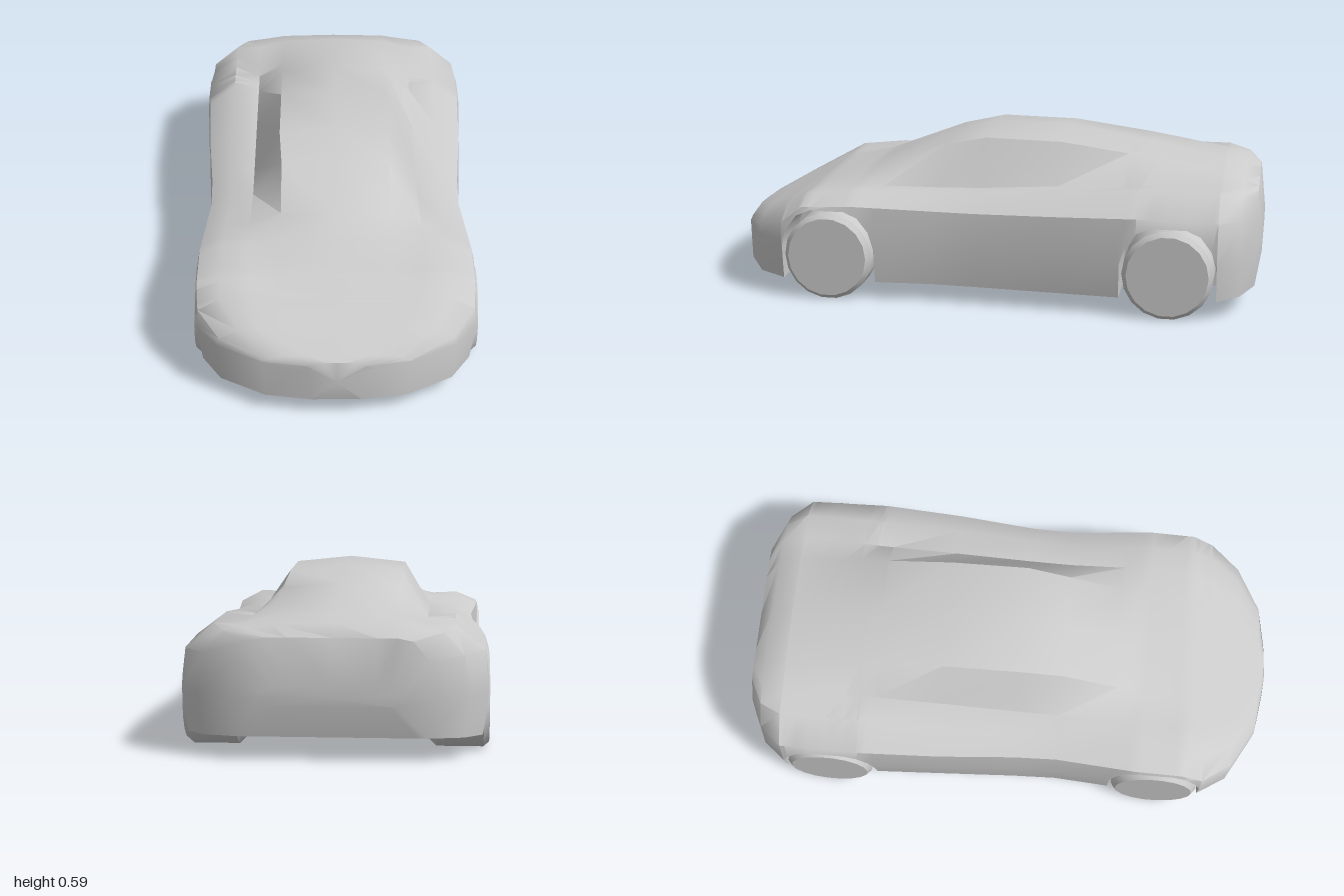
import * as THREE from 'three';
import { toCreasedNormals } from 'three/addons/utils/BufferGeometryUtils.js';

const AXLES = [0.585, -0.675];
const FLOOR = 0.07;

// Body stations: z, roof y, roof edge x y, cabin base x y, fender x y, shoulder x y, side x, sill x, sill y
const STATIONS = [
  [0.985, 0.235, 0.04, 0.235, 0.07, 0.23, 0.09, 0.22, 0.10, 0.2, 0.10, 0.09, 0.07],
  [0.96, 0.25, 0.12, 0.25, 0.18, 0.245, 0.23, 0.235, 0.255, 0.225, 0.26, 0.25, 0.07],
  [0.87, 0.29, 0.2, 0.29, 0.27, 0.29, 0.34, 0.285, 0.41, 0.25, 0.42, 0.41, 0.07],
  [0.76, 0.345, 0.2, 0.345, 0.3, 0.345, 0.41, 0.34, 0.49, 0.29, 0.5, 0.48, 0.07],
  [0.68, 0.385, 0.2, 0.38, 0.31, 0.38, 0.41, 0.385, 0.495, 0.35, 0.5, 0.49, 0.07],
  [0.5, 0.43, 0.2, 0.425, 0.32, 0.4, 0.41, 0.405, 0.495, 0.36, 0.5, 0.485, 0.07],
  [0.2, 0.555, 0.2, 0.54, 0.31, 0.4, 0.39, 0.395, 0.47, 0.35, 0.48, 0.465, 0.07],
  [0.04, 0.597, 0.21, 0.575, 0.31, 0.405, 0.4, 0.4, 0.475, 0.35, 0.485, 0.47, 0.07],
  [-0.25, 0.595, 0.21, 0.57, 0.31, 0.425, 0.41, 0.42, 0.5, 0.36, 0.505, 0.485, 0.07],
  [-0.55, 0.545, 0.21, 0.53, 0.31, 0.44, 0.41, 0.45, 0.515, 0.37, 0.525, 0.5, 0.07],
  [-0.85, 0.49, 0.21, 0.48, 0.32, 0.45, 0.41, 0.45, 0.51, 0.365, 0.525, 0.505, 0.075],
];
const TAIL = [
  [-0.93, 0.465, 0.21, 0.46, 0.3, 0.445, 0.37, 0.435, 0.44, 0.36, 0.46, 0.44, 0.08],
  [-0.98, 0.42, 0.15, 0.42, 0.22, 0.42, 0.27, 0.41, 0.33, 0.34, 0.35, 0.32, 0.085],
  [-1, 0.26, 0.1, 0.26, 0.15, 0.26, 0.2, 0.255, 0.24, 0.24, 0.25, 0.22, 0.19],
];
const KEYS = [...STATIONS, ...TAIL];

// Wheel opening outline: distance from axle, height
const ARCH = [[0.176, FLOOR], [0.174, 0.2], [0.155, 0.265], [0.115, 0.318], [0.065, 0.34], [0, 0.34]];

function archHeight(z) {
  const d = Math.min(...AXLES.map((a) => Math.abs(z - a)));
  for (let i = 1; i < ARCH.length; i++) {
    const [d0, y0] = ARCH[i - 1], [d1, y1] = ARCH[i];
    if (d <= d0 && d >= d1) return y0 + (y1 - y0) * (d0 - d) / (d0 - d1);
  }
  return 0;
}

function stationAt(z) {
  let i = 1;
  while (i < KEYS.length - 1 && KEYS[i][0] > z) i++;
  const a = KEYS[i - 1], b = KEYS[i], t = (z - a[0]) / (b[0] - a[0]);
  return a.map((v, k) => v + (b[k] - v) * t);
}

// Half section from roof centre round to floor centre, mirrored into a ring
function ringAt(z) {
  const [, top, xr, yr, xs, ys, xf, yf, xw, yw, xm, xb, yb] = stationAt(z);
  const arch = archHeight(z), inner = Math.min(0.31, xb * 0.9);
  const lip = Math.max(yb, arch);
  const half = [
    [0, top], [xr, yr], [xs, ys], [xf, yf], [xw, yw],
    [xm, Math.max(0.22, arch)], [xb + (xm - xb) * Math.min(1, (lip - yb) / 0.15), lip],
    [inner, lip], [inner, yb], [0, yb],
  ];
  const mirrored = half.slice(1, -1).reverse().map(([x, y]) => [-x, y]);
  return [...half, ...mirrored].map(([x, y]) => [x, y, z]);
}

function bodyGeometry() {
  const zs = KEYS.map((k) => k[0]);
  for (const a of AXLES) for (const [d] of ARCH) zs.push(a + d, a - d);
  const sorted = [...new Set(zs.map((z) => +z.toFixed(4)))].sort((a, b) => b - a);
  const rings = sorted.map(ringAt);
  const n = rings[0].length, last = (rings.length - 1) * n;
  const points = rings.flat();
  const nose = points.push([0, 0.16, 1]) - 1;
  const tail = points.push([0, 0.22, -1]) - 1;
  const index = [];
  for (let j = 0; j < n; j++) {
    const k = (j + 1) % n;
    for (let i = 0; i < last; i += n) {
      index.push(i + j, i + k, i + n + j, i + k, i + n + k, i + n + j);
    }
    index.push(nose, k, j, tail, last + j, last + k);
  }
  const geo = new THREE.BufferGeometry();
  geo.setAttribute('position', new THREE.Float32BufferAttribute(points.flat(), 3));
  geo.setIndex(index);
  return toCreasedNormals(geo, 0.75);
}

// Tyre and flat disc, turned about the axle, outer face towards +x
function wheelGeometry(width) {
  const h = width / 2;
  const profile = [[0, -h], [0.14, -h], [0.165, -h + 0.025], [0.165, h - 0.02], [0.148, h], [0, h]]
    .map(([r, y]) => new THREE.Vector2(r, y));
  const geo = new THREE.LatheGeometry(profile, 18);
  geo.rotateZ(-Math.PI / 2);
  return toCreasedNormals(geo, 0.6);
}

export function createModel() {
  const model = new THREE.Group();
  model.name = 'car';
  const grey = new THREE.MeshStandardMaterial({ color: 0xcccccc, side: THREE.DoubleSide });

  const body = new THREE.Mesh(bodyGeometry(), grey);
  body.name = 'body';
  model.add(body);

  // Front and rear wheel pairs: inner and outer face
  const pairs = [['front', AXLES[0], 0.345, 0.508], ['rear', AXLES[1], 0.32, 0.528]];
  for (const [end, z, inner, outer] of pairs) {
    const geo = wheelGeometry(outer - inner);
    for (const side of [1, -1]) {
      const wheel = new THREE.Mesh(geo, grey);
      wheel.name = `${end}${side > 0 ? 'Left' : 'Right'}Wheel`;
      wheel.position.set(side * (inner + outer) / 2, 0.165, z);
      if (side < 0) wheel.rotation.y = Math.PI;
      model.add(wheel);
    }
  }
  return model;
}
